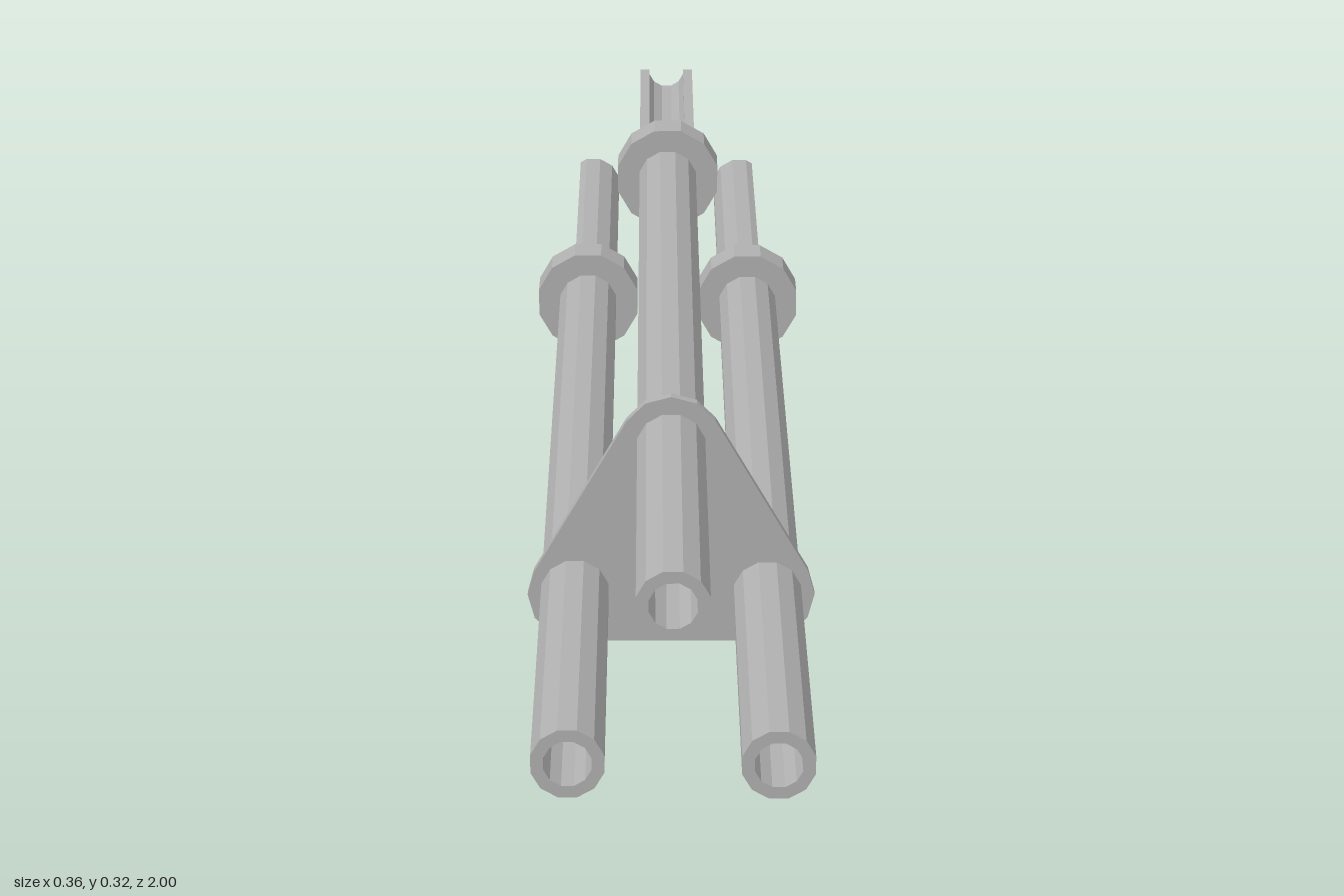
import * as THREE from 'three';

const SIDES = 12;

// Points on a regular polygon's outline whose flats face the axes
function polygon(radius, from = 0, count = SIDES) {
  const pts = [];
  for (let i = 0; i < count; i++) {
    const a = ((i + 0.5) / SIDES) * Math.PI * 2 + from;
    pts.push(new THREE.Vector2(Math.cos(a) * radius, Math.sin(a) * radius));
  }
  return pts;
}

// Extrude a shape along z between two depths
function extrude(shape, zBack, zFront) {
  const geometry = new THREE.ExtrudeGeometry(shape, { depth: zFront - zBack, bevelEnabled: false });
  return geometry.translate(0, 0, zBack);
}

function ringShape(outer, inner) {
  const shape = new THREE.Shape(polygon(outer));
  shape.holes.push(new THREE.Path(polygon(inner)));
  return shape;
}

// Lower half of a ring, open towards +y
function halfArc(radius) {
  const flat = radius * Math.cos(Math.PI / SIDES);
  return [
    new THREE.Vector2(-flat, 0),
    ...polygon(radius, Math.PI, SIDES / 2),
    new THREE.Vector2(flat, 0),
  ];
}

export function createModel() {
  const model = new THREE.Group();
  model.name = 'tripleTubeAssembly';
  const steel = new THREE.MeshStandardMaterial({ color: 0xb0b0b0, flatShading: true });
  steel.name = 'grey metal';

  const add = (parent, name, geometry) => {
    const mesh = new THREE.Mesh(geometry, steel);
    mesh.name = name;
    parent.add(mesh);
  };

  const OUTER = 0.0405, INNER = 0.0265;
  const tube = extrude(ringShape(OUTER, INNER), -0.58, 1);
  const collar = extrude(ringShape(0.0715, OUTER - 0.001), -0.505, -0.455);
  const trough = extrude(
    new THREE.Shape([...halfArc(OUTER), ...halfArc(INNER).reverse()]), -1, -0.58);

  // Three tubes, each with a collar and an outward-facing open trough at the back
  const places = [
    { name: 'top', x: 0, y: 0.254, turn: 0 },
    { name: 'right', x: -0.112, y: 0.072, turn: 1 },
    { name: 'left', x: 0.112, y: 0.07, turn: 2 },
  ];
  for (const { name, x, y, turn } of places) {
    const unit = new THREE.Group();
    unit.name = name + 'TubeUnit';
    unit.position.set(x, y, 0);
    unit.rotation.z = (turn * Math.PI * 2) / 3;
    add(unit, name + 'Tube', tube);
    add(unit, name + 'Collar', collar);
    add(unit, name + 'Trough', trough);
    model.add(unit);
  }

  // Thin triangular spacer plate with rounded corners
  const outline = [];
  for (let corner = 0; corner < 3; corner++) {
    const out = Math.PI / 2 + (corner * Math.PI * 2) / 3;
    for (let i = -2; i <= 2; i++) {
      const a = out + (i * Math.PI) / 6;
      outline.push(new THREE.Vector2(
        Math.cos(out) * 0.125 + Math.cos(a) * 0.059,
        Math.sin(out) * 0.125 + Math.sin(a) * 0.059 + 0.131));
    }
  }
  add(model, 'spacerPlate', extrude(new THREE.Shape(outline), 0.54, 0.552));

  return model;
}
